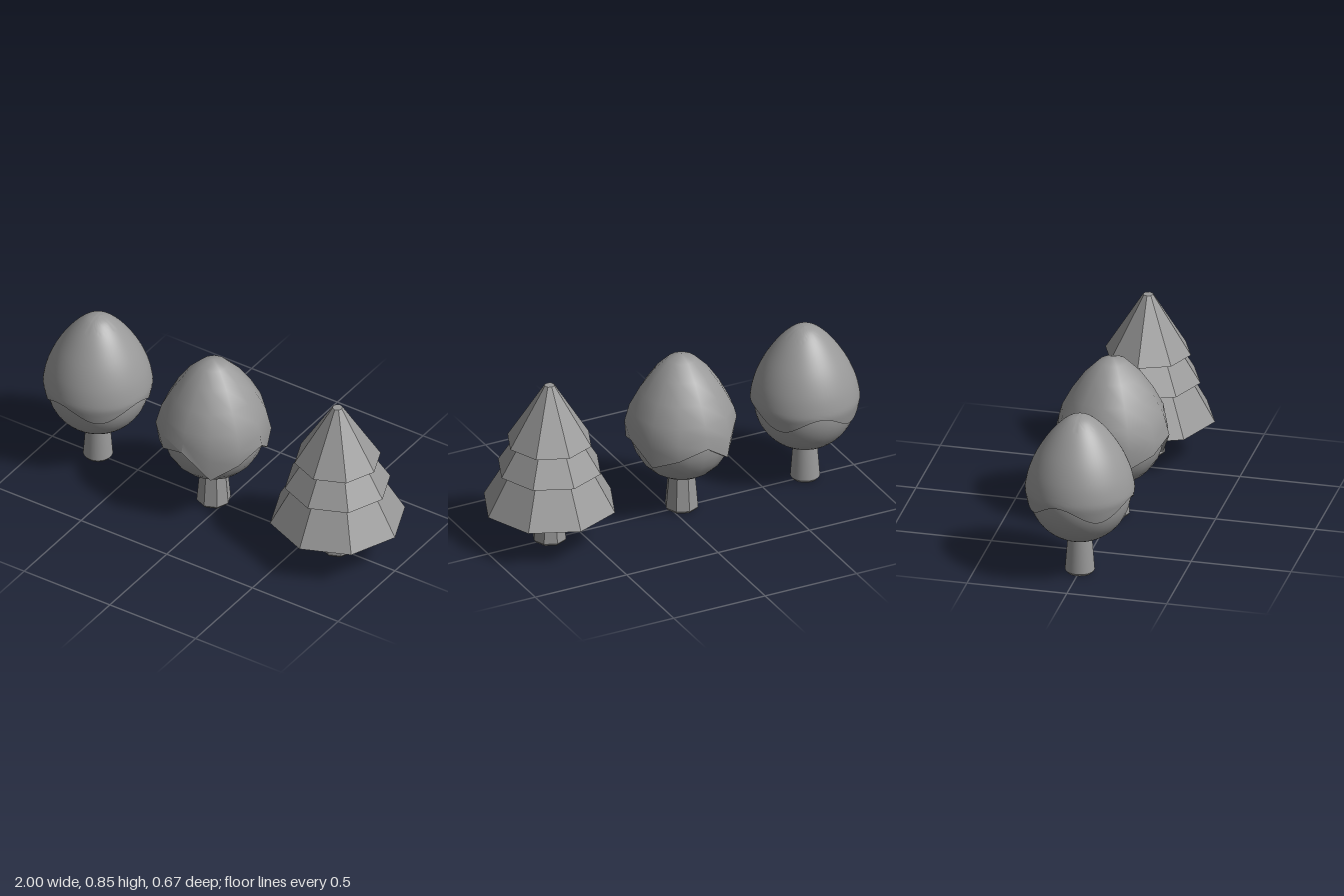
import * as THREE from 'three';
import { toCreasedNormals } from 'three/addons/utils/BufferGeometryUtils.js';

const DEG = Math.PI / 180;

// Solid of revolution from [radius, height] pairs listed bottom to top
function turned(profile, sides, crease = 0.5) {
  const points = profile.map(([r, y]) => new THREE.Vector2(r, y));
  return toCreasedNormals(new THREE.LatheGeometry(points, sides), crease);
}

// Radius at a height, from [radius, height] pairs listed top to bottom
function radiusAt(profile, y) {
  for (let i = 1; i < profile.length; i++) {
    const [r0, y0] = profile[i - 1], [r1, y1] = profile[i];
    if (y >= y1) return r0 + (r1 - r0) * (y0 - y) / (y0 - y1);
  }
  return profile[profile.length - 1][0];
}

// Domed leaf cap: rings follow the profile, then stretch down to a varying
// lower edge, and a rim turns inward to meet the foliage ball
function leafCap(profile, upper, sides, lowerRows, edgeY) {
  const rows = upper + lowerRows + 1;
  const pos = [], index = [];
  for (let i = 0; i < rows; i++) {
    for (let j = 0; j < sides; j++) {
      const a = (j / sides) * Math.PI * 2, edge = edgeY(a, j);
      let r, y;
      if (i < upper) [r, y] = profile[i];
      else {
        const t = Math.min(1, (i - upper + 1) / lowerRows);
        y = THREE.MathUtils.lerp(profile[upper - 1][1], edge, t);
        r = radiusAt(profile, y);
        if (i === rows - 1) r -= 0.05;
      }
      pos.push(Math.sin(a) * r, y, Math.cos(a) * r);
    }
  }
  for (let i = 0; i < rows - 1; i++) {
    for (let j = 0; j < sides; j++) {
      const k = (j + 1) % sides;
      const a = i * sides + j, d = i * sides + k, b = a + sides, c = d + sides;
      index.push(a, b, c);
      if (i > 0) index.push(a, c, d);
    }
  }
  const g = new THREE.BufferGeometry();
  g.setAttribute('position', new THREE.Float32BufferAttribute(pos, 3));
  g.setIndex(index);
  return toCreasedNormals(g, 0.95);
}

export function createModel() {
  const grey = new THREE.MeshStandardMaterial({ color: 0x999999 });
  grey.name = 'plain grey';
  const model = new THREE.Group();

  function tree(name, x, parts) {
    const group = new THREE.Group();
    group.name = name;
    group.position.x = x;
    for (const [part, geometry] of Object.entries(parts)) {
      const mesh = new THREE.Mesh(geometry, grey);
      mesh.name = part;
      group.add(mesh);
    }
    model.add(group);
  }

  const trunk = (r, top, sides) => turned(
    [[0, 0], [r - 0.01, 0], [r, 0.013], [r * 0.79, top], [0, top]], sides);
  const ball = (w, h) => new THREE.SphereGeometry(0.25, w, h).translate(0, 0.43, 0);

  // Smooth round tree with a wavy cap
  const egg = new THREE.SplineCurve([
    [0, 0.84], [0.06, 0.82], [0.13, 0.755], [0.2, 0.655],
    [0.246, 0.555], [0.267, 0.465], [0.263, 0.42], [0.25, 0.36],
  ].map(([r, y]) => new THREE.Vector2(r, y)));
  const smooth = egg.getPoints(42).map((p) => [Math.max(0, p.x), p.y]);
  tree('roundTree', -0.733, {
    trunk: trunk(0.073, 0.21, 32),
    foliageBall: ball(40, 28),
    wavyLeafCap: leafCap(smooth, 28, 64, 8,
      (a) => 0.405 + 0.04 * Math.cos(4 * (a + 10 * DEG))),
  });

  // Coarser round tree with a zigzag cap
  const coarse = [[0, 0.845], [0.07, 0.82], [0.14, 0.75], [0.205, 0.655],
    [0.255, 0.56], [0.283, 0.455], [0.272, 0.38], [0.255, 0.3]];
  const zigzag = [0.455, 0.3, 0.38, 0.44, 0.33, 0.39, 0.45, 0.35, 0.51, 0.43, 0.35, 0.4];
  tree('zigzagTree', -0.058, {
    trunk: trunk(0.085, 0.21, 8),
    foliageBall: ball(20, 14),
    zigzagLeafCap: leafCap(coarse, 5, 12, 2, (a, j) => zigzag[j]),
  });

  // Faceted fir with three stacked tiers
  tree('firTree', 0.665, {
    trunk: trunk(0.085, 0.21, 8),
    tiers: turned([[0, 0.2], [0.335, 0.2], [0.222, 0.4], [0.262, 0.4],
      [0.172, 0.545], [0.214, 0.545], [0.025, 0.85], [0, 0.85]], 8),
  });

  return model;
}
